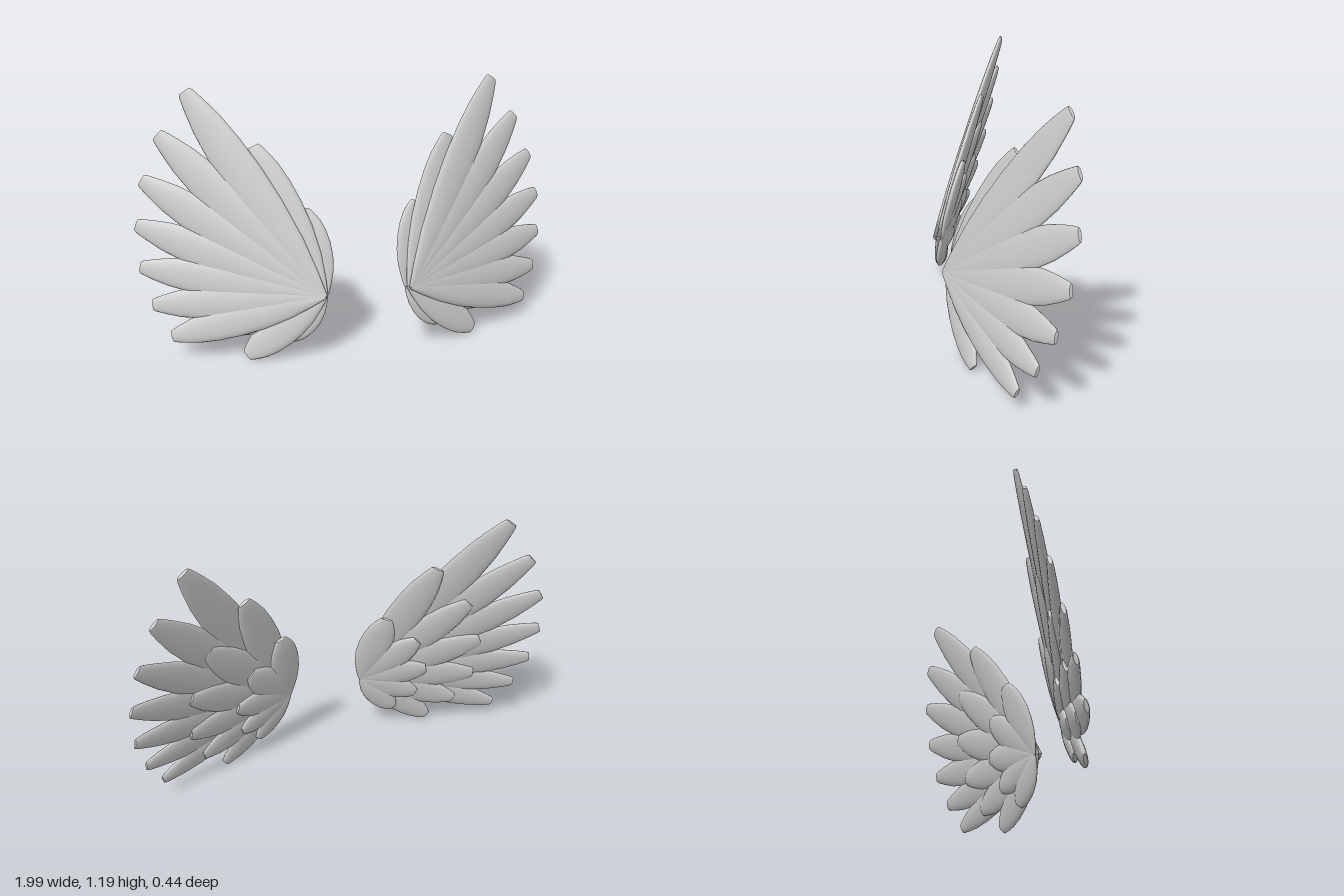
import * as THREE from 'three';

const SIDES = 16;
// [position along the feather, width factor, thickness factor]
const PROFILE = [
  [0, 0.12, 0.3], [0.1, 0.4, 0.6], [0.25, 0.74, 0.85], [0.42, 0.95, 1], [0.58, 1, 1],
  [0.72, 0.94, 0.95], [0.84, 0.79, 0.85], [0.93, 0.57, 0.7], [0.985, 0.4, 0.55], [1, 0.32, 0.4],
];

// Blade along +y with an elliptical section, blunt at both ends
function featherGeometry(length, halfWidth, halfDepth) {
  const pos = [], index = [];
  const ring = ([t, w, d]) => {
    for (let j = 0; j < SIDES; j++) {
      const a = (j / SIDES) * Math.PI * 2;
      pos.push(Math.cos(a) * halfWidth * w, t * length, Math.sin(a) * halfDepth * d);
    }
  };
  PROFILE.forEach(ring);
  for (let i = 0; i < PROFILE.length - 1; i++) {
    for (let j = 0; j < SIDES; j++) {
      const k = (j + 1) % SIDES;
      const a = i * SIDES + j, b = i * SIDES + k;
      index.push(a, a + SIDES, b, b, a + SIDES, b + SIDES);
    }
  }
  // Flat end caps on their own vertices
  for (const end of [PROFILE[0], PROFILE[PROFILE.length - 1]]) {
    const start = pos.length / 3;
    ring(end);
    for (let j = 1; j < SIDES - 1; j++) {
      if (end[0] > 0) index.push(start, start + j + 1, start + j);
      else index.push(start, start + j, start + j + 1);
    }
  }
  const g = new THREE.BufferGeometry();
  g.setAttribute('position', new THREE.Float32BufferAttribute(pos, 3));
  g.setIndex(index);
  g.computeVertexNormals();
  return g;
}

// Feather layers from front to back: fan angles in degrees, lengths and half widths from top to bottom
const LAYERS = [
  { name: 'flightFeather', count: 7, angle: [54, -17], length: [1.1, 0.73], width: [0.092, 0.075], back: 0 },
  { name: 'middleFeather', count: 6, angle: [62.5, -39], length: [0.74, 0.457], width: [0.09, 0.078], back: 0.018 },
  { name: 'shortFeather', count: 5, angle: [73, -50], length: [0.4, 0.27], width: [0.082, 0.066], back: 0.038 },
];

function createWing(side, material) {
  const wing = new THREE.Group();
  wing.name = side > 0 ? 'leftWing' : 'rightWing';
  // Wing plane leans back and sweeps outward
  const n = new THREE.Vector3(side * 0.352, 0.224, 0.909).normalize();
  const u = new THREE.Vector3(0, 1, 0).cross(n).normalize();
  const v = n.clone().cross(u);
  wing.quaternion.setFromRotationMatrix(new THREE.Matrix4().makeBasis(u, v, n));
  wing.position.set(side * 0.2, 0.31, 0.2);

  for (const layer of LAYERS) {
    for (let i = 0; i < layer.count; i++) {
      const t = i / (layer.count - 1);
      const at = ([a, b]) => THREE.MathUtils.lerp(a, b, t);
      const feather = new THREE.Mesh(
        featherGeometry(at(layer.length), at(layer.width), 0.02), material);
      feather.name = layer.name + (i + 1);
      feather.position.z = -layer.back;
      feather.rotation.z = side * THREE.MathUtils.degToRad(at(layer.angle) - 90);
      wing.add(feather);
    }
  }
  return wing;
}

export function createModel() {
  const model = new THREE.Group();
  model.name = 'wings';
  const material = new THREE.MeshStandardMaterial({ color: 0xcccccc });
  model.add(createWing(1, material), createWing(-1, material));
  return model;
}
